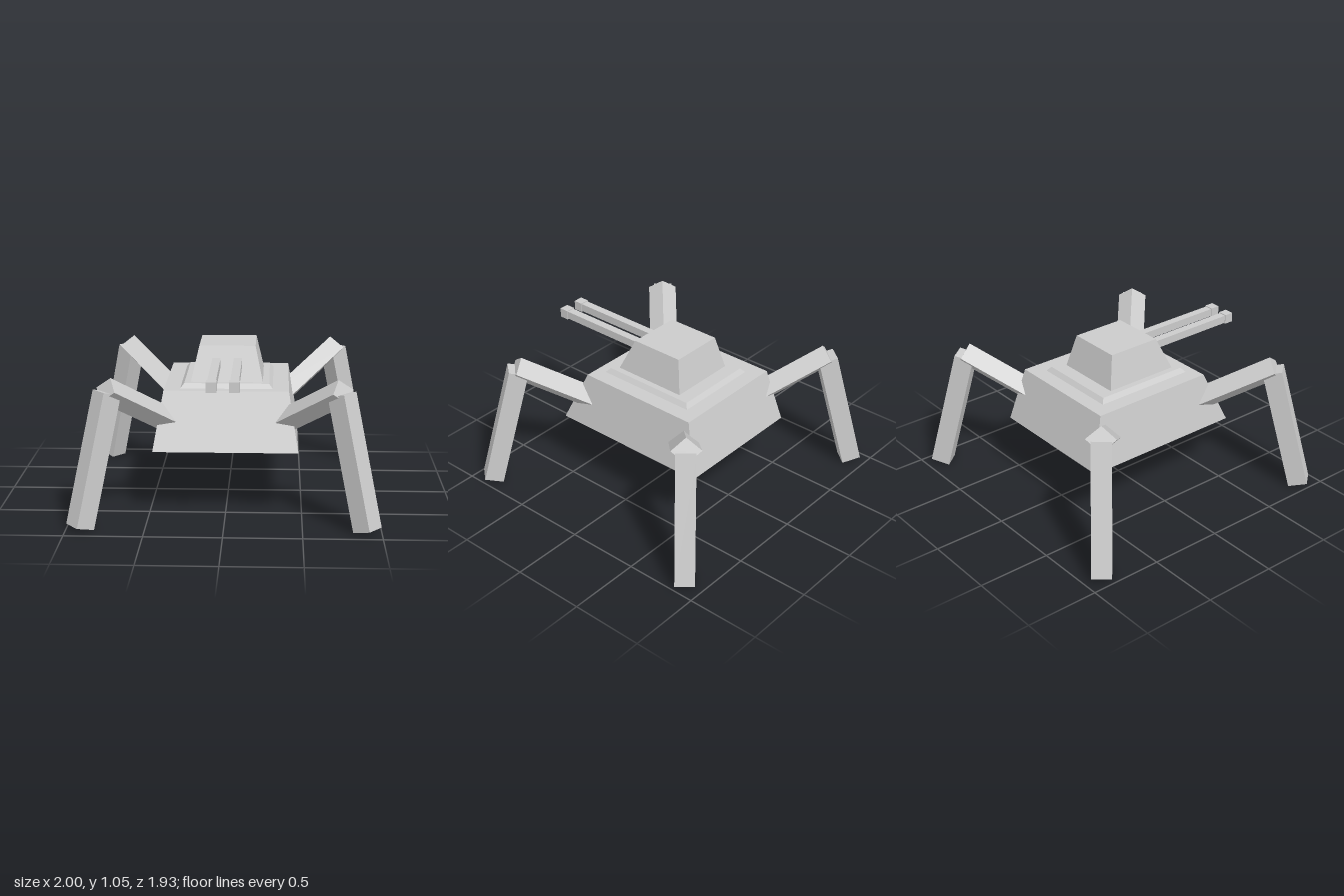
import * as THREE from 'three';

const material = new THREE.MeshStandardMaterial({ color: 0xcccccc, flatShading: true });

function addMesh(parent, name, geometry) {
  const mesh = new THREE.Mesh(geometry, material);
  mesh.name = name;
  parent.add(mesh);
  return mesh;
}

// Tapered block; each level is { y, x: half width, z0: back, z1: front }
function taperedBlock(low, high) {
  const geometry = new THREE.BoxGeometry(2, 2, 2);
  const p = geometry.attributes.position;
  for (let i = 0; i < p.count; i++) {
    const level = p.getY(i) > 0 ? high : low;
    p.setXYZ(i, p.getX(i) * level.x, level.y, p.getZ(i) > 0 ? level.z1 : level.z0);
  }
  geometry.computeVertexNormals();
  return geometry;
}

// Stretch a unit-height geometry (along y) from a to b, its x axis kept level
function beam(parent, name, geometry, a, b) {
  const axis = b.clone().sub(a);
  const length = axis.length();
  axis.normalize();
  const side = new THREE.Vector3(axis.z, 0, -axis.x).normalize();
  const depth = side.clone().cross(axis);
  const mesh = addMesh(parent, name, geometry);
  mesh.quaternion.setFromRotationMatrix(new THREE.Matrix4().makeBasis(side, axis, depth));
  mesh.position.copy(a).add(b).multiplyScalar(0.5);
  mesh.scale.y = length;
}

export function createModel() {
  const model = new THREE.Group();
  model.name = 'walkerTurret';

  // Hull, turret ring and turret
  addMesh(model, 'hull', taperedBlock(
    { y: 0.43, x: 0.473, z0: -0.575, z1: 0.573 }, { y: 0.8, x: 0.41, z0: -0.48, z1: 0.405 }));
  addMesh(model, 'turretRing', taperedBlock(
    { y: 0.8, x: 0.305, z0: -0.377, z1: 0.337 }, { y: 0.83, x: 0.28, z0: -0.352, z1: 0.312 }));
  addMesh(model, 'turret', taperedBlock(
    { y: 0.83, x: 0.238, z0: -0.257, z1: 0.27 }, { y: 1.055, x: 0.187, z0: -0.205, z1: 0.17 }));

  // Twin guns
  for (const s of [1, -1]) {
    const gun = new THREE.Group();
    gun.name = s > 0 ? 'leftGun' : 'rightGun';
    gun.position.set(s * 0.071, 0.95, 0);
    addMesh(gun, 'barrel', new THREE.BoxGeometry(0.055, 0.055, 0.74)).position.z = 0.52;
    addMesh(gun, 'muzzle', new THREE.BoxGeometry(0.066, 0.066, 0.065)).position.z = 0.918;
    model.add(gun);
  }

  // Four legs: diamond-section thigh and square shin
  for (const sx of [1, -1]) {
    for (const sz of [1, -1]) {
      const leg = new THREE.Group();
      leg.name = (sz > 0 ? 'front' : 'back') + (sx > 0 ? 'Left' : 'Right') + 'Leg';
      const at = (x, y, z) => new THREE.Vector3(sx * x, y, sz * z);
      const diamond = new THREE.CylinderGeometry(1, 1, 1, 4).scale(0.0975, 1, 0.082);
      beam(leg, 'thigh', diamond, at(0.325, 0.564, 0.362), at(0.745, 0.88, 0.742));
      beam(leg, 'shin', new THREE.BoxGeometry(0.13, 1, 0.13),
        at(0.909, 0.018, 0.873), at(0.738, 0.863, 0.733));
      model.add(leg);
    }
  }
  return model;
}
